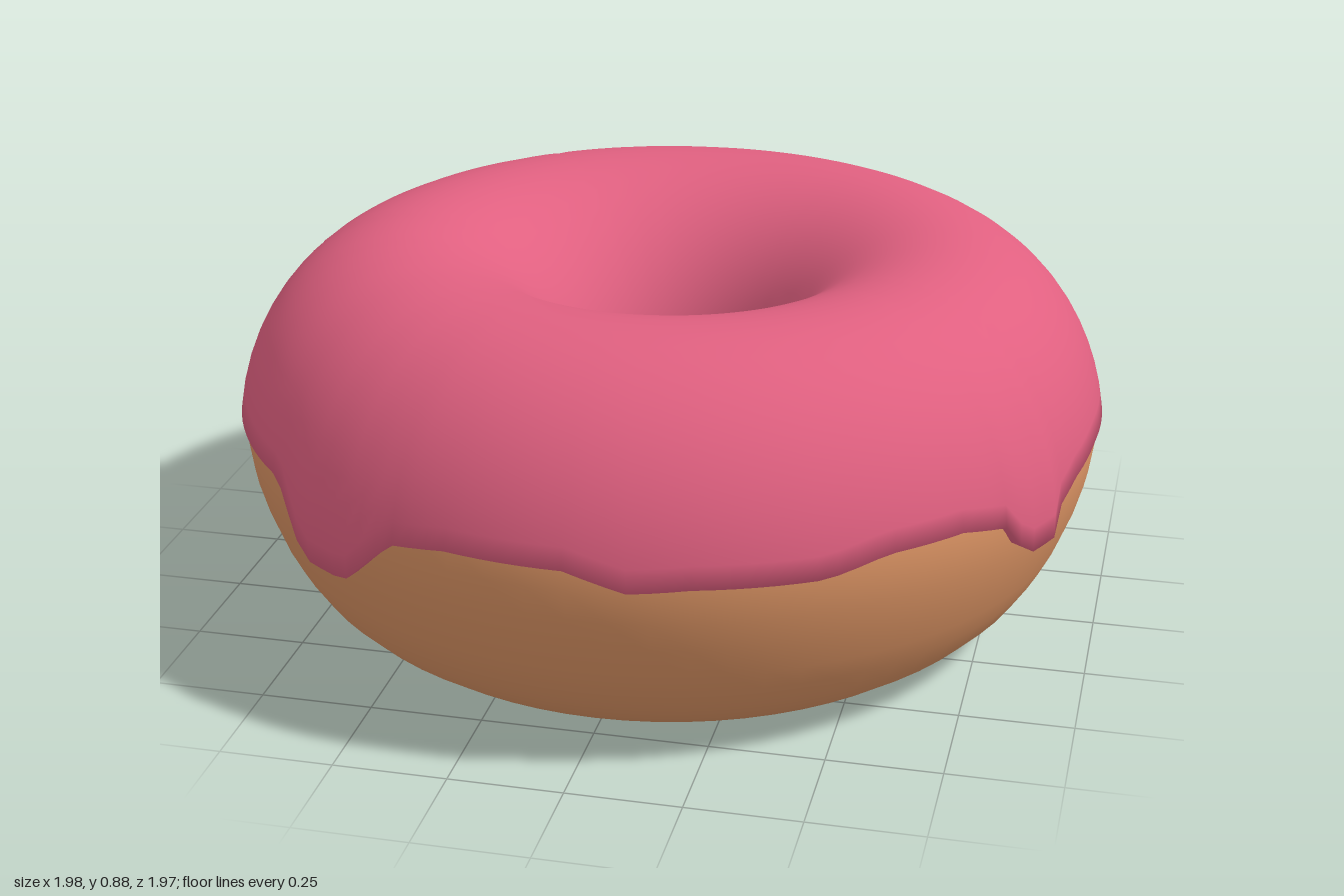
import * as THREE from 'three';

const RING = 0.6; // radius of the ring's centre line

// Lower edge of the icing: [degrees round from the front towards +x, height]
const OUTER_EDGE = [
  [0, 0.5], [7.6, 0.46], [15, 0.47], [31, 0.47], [39, 0.5], [50, 0.5], [58, 0.47], [61, 0.39],
  [68, 0.39], [70, 0.45], [75, 0.48], [84, 0.5], [98, 0.5], [106, 0.45], [113, 0.45], [121, 0.48],
  [128, 0.475], [136, 0.45], [145, 0.45], [153, 0.5], [178, 0.5], [197, 0.47], [204, 0.34],
  [214, 0.34], [219, 0.43], [228, 0.47], [244, 0.48], [254, 0.46], [261, 0.39], [267, 0.39],
  [273, 0.49], [283, 0.5], [314, 0.5], [322, 0.36], [329.5, 0.36], [337, 0.48], [345, 0.5], [360, 0.5],
];
const INNER_EDGE = [
  [0, 0.47], [40, 0.45], [90, 0.48], [140, 0.45], [190, 0.48], [240, 0.46],
  [284, 0.46], [290, 0.38], [295, 0.365], [300, 0.38], [306, 0.46], [360, 0.47],
];

function edgeHeight(table, deg) {
  const k = Math.max(1, table.findIndex((p) => p[0] >= deg));
  const [a, b] = [table[k - 1], table[k]];
  return THREE.MathUtils.mapLinear(deg, a[0], b[0], a[1], b[1]);
}

// Dough: rounded section with a slight waist, turned round the y axis
function makeDough() {
  const outer = [
    [0.6, 0], [0.67, 0.007], [0.74, 0.032], [0.8, 0.075], [0.85, 0.125], [0.89, 0.185],
    [0.918, 0.24], [0.945, 0.31], [0.965, 0.38], [0.975, 0.45],
  ];
  const profile = outer.map(([r, y]) => new THREE.Vector2(r, y));
  // over the top and down through the hole
  for (let i = 1; i <= 32; i++) {
    const t = (i / 32) * Math.PI * 1.5;
    profile.push(new THREE.Vector2(RING + 0.375 * Math.cos(t),
      0.45 + (t < Math.PI ? 0.41 : 0.45) * Math.sin(t)));
  }
  return new THREE.LatheGeometry(profile, 72);
}

// Icing: shell over the top half, ending in a wavy edge that tucks into the dough
function makeIcing() {
  const around = 144, rows = 28;
  const positions = [], index = [];
  const angleAt = (y) => Math.asin((y - 0.44) / 0.44);
  for (let i = 0; i < around; i++) {
    const deg = (i * 360) / around;
    const a = THREE.MathUtils.degToRad(deg);
    const low = edgeHeight(OUTER_EDGE, deg);
    const t0 = angleAt(low);
    const t1 = Math.PI - angleAt(edgeHeight(INNER_EDGE, deg));
    const bulge = 0.012 * THREE.MathUtils.smoothstep(0.5 - low, 0.03, 0.12);
    for (let j = 0; j <= rows; j++) {
      // first and last rows form the tucked-in lip
      const k = THREE.MathUtils.clamp((j - 1) / (rows - 2), 0, 1);
      const t = t0 + (t1 - t0) * k;
      const lip = j === 0 || j === rows ? 0.9 : 1;
      const swell = bulge * Math.max(0, 1 - k * 6);
      const r = RING + lip * (0.39 + swell) * Math.cos(t);
      positions.push(r * Math.sin(a), 0.44 + 0.44 * lip * Math.sin(t), r * Math.cos(a));
    }
  }
  const n = rows + 1;
  for (let i = 0; i < around; i++) {
    for (let j = 0; j < rows; j++) {
      const p = i * n + j, q = ((i + 1) % around) * n + j;
      index.push(p, q, q + 1, p, q + 1, p + 1);
    }
  }
  const geometry = new THREE.BufferGeometry();
  geometry.setAttribute('position', new THREE.Float32BufferAttribute(positions, 3));
  geometry.setIndex(index);
  geometry.computeVertexNormals();
  return geometry;
}

export function createModel() {
  const group = new THREE.Group();
  group.name = 'doughnut';
  const add = (name, geometry, color) => {
    const mesh = new THREE.Mesh(geometry, new THREE.MeshStandardMaterial({ color }));
    mesh.name = name;
    group.add(mesh);
  };
  add('dough', makeDough(), 0xdc9464);
  add('icing', makeIcing(), 0xe06080);
  return group;
}
